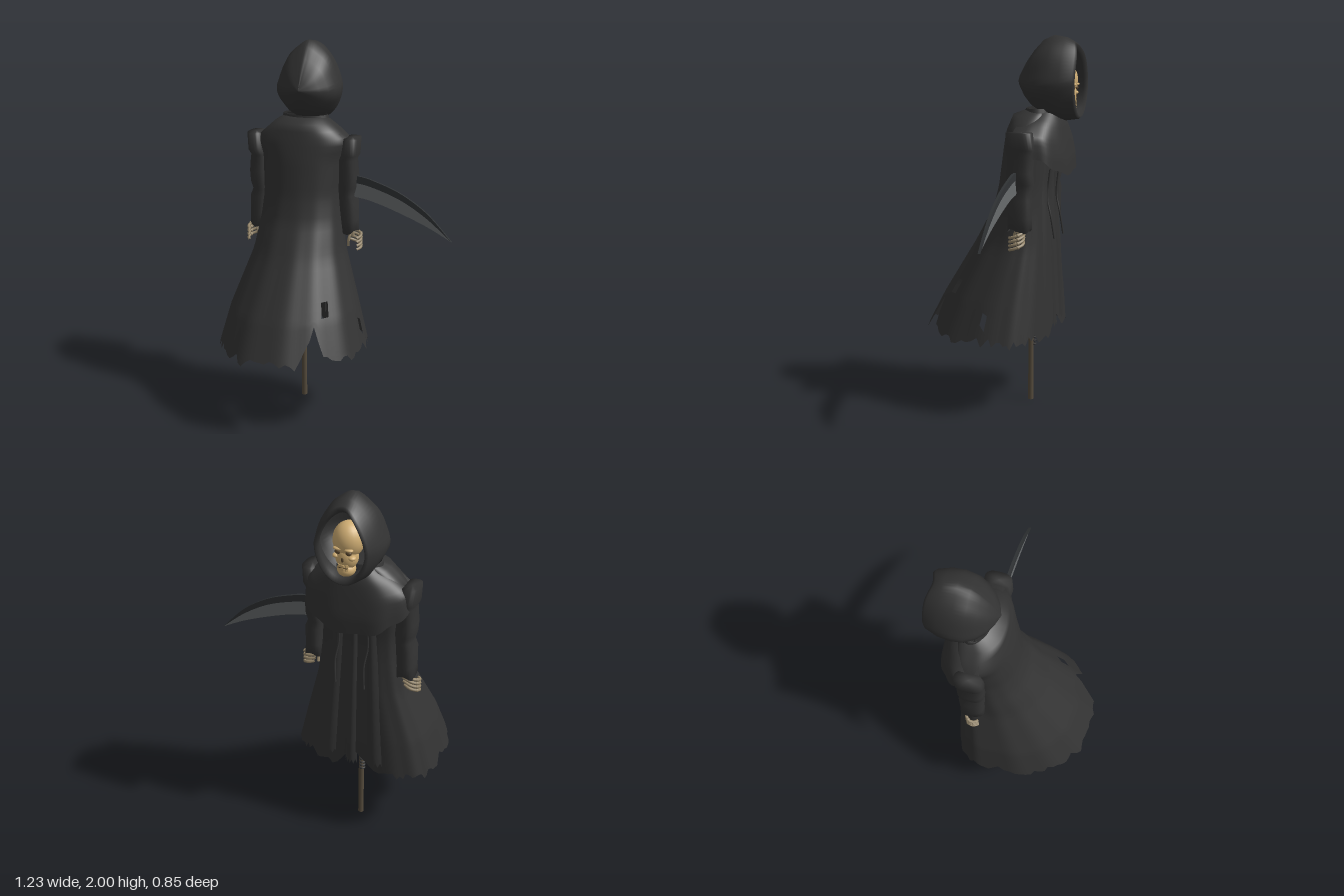
import * as THREE from 'three';

const CX = -0.21; // the figure stands left of the blade's reach
const mat = (name, color, side = THREE.FrontSide) => {
  const m = new THREE.MeshStandardMaterial({ color, side });
  m.name = name;
  return m;
};

// Interpolates rows of numbers keyed by their first entry (descending)
function sample(table, key) {
  let i = 0;
  while (i < table.length - 2 && key < table[i + 1][0]) i++;
  const a = table[i], b = table[i + 1];
  const f = THREE.MathUtils.clamp((a[0] - key) / (a[0] - b[0]), 0, 1);
  return a.map((v, k) => v + (b[k] - v) * f);
}

// Surface from point(column, row); closed sheets wrap the columns
function sheet(cols, rows, closed, point, skip = () => false) {
  const pos = [], idx = [], n = closed ? cols : cols + 1;
  for (let r = 0; r <= rows; r++) for (let c = 0; c < n; c++) pos.push(...point(c, r));
  for (let r = 0; r < rows; r++) for (let c = 0; c < cols; c++) {
    if (skip(c, r)) continue;
    const a = r * n + c, b = r * n + (c + 1) % n;
    idx.push(a, b, a + n, b, b + n, a + n);
  }
  const g = new THREE.BufferGeometry();
  g.setAttribute('position', new THREE.Float32BufferAttribute(pos, 3));
  g.setIndex(idx);
  g.computeVertexNormals();
  return g;
}

const spow = (v, p) => Math.sign(v) * Math.abs(v) ** p;

export function createModel() {
  const model = new THREE.Group();
  const cloth = mat('black cloth', 0x333333, THREE.DoubleSide);
  const bone = mat('skull bone', 0xd0ae74);
  const handBone = mat('hand bone', 0x94856a);
  const wood = mat('staff wood', 0x544a3b);
  const steel = mat('blade steel', 0x686b6d);
  const darkSteel = mat('blade spine', 0x303335);
  const socket = mat('socket brown', 0x5c4930);
  const add = (name, geo, material, parent = model) => {
    const m = new THREE.Mesh(geo, material);
    m.name = name;
    parent.add(m);
    return m;
  };
  let seed = 7;
  const rnd = () => (seed = (seed * 16807) % 2147483647) / 2147483647;

  // Robe: y, left x, right x, back z, front z, z of the widest line
  const robe = [
    [1.61, -0.32, -0.10, -0.12, -0.26, -0.19], [1.585, -0.365, -0.055, -0.055, -0.27, -0.17],
    [1.50, -0.46, 0.04, -0.03, -0.27, -0.165], [1.40, -0.43, 0.01, -0.008, -0.26, -0.16],
    [1.20, -0.42, 0.00, 0.022, -0.25, -0.15], [1.08, -0.43, 0.01, 0.055, -0.255, -0.13],
    [0.90, -0.46, 0.04, 0.15, -0.265, -0.10], [0.60, -0.565, 0.13, 0.332, -0.278, -0.03],
    [0.38, -0.62, 0.19, 0.445, -0.285, 0.0]];
  const COLS = 96, ROWS = 36;
  const hem = Array.from({ length: COLS }, (_, c) =>
    0.405 + 0.02 * Math.sin(c * 0.9) * Math.sin(c * 0.37) + (rnd() - 0.4) * 0.045);
  [0.45, 0.52, 0.595, 0.53, 0.49, 0.44].forEach((y, i) => { hem[13 + i] = y; }); // long tear
  [0.45, 0.52, 0.46].forEach((y, i) => { hem[71 + i] = y; });
  const robePoint = (t, y) => {
    const [, l, r, back, front, zc] = sample(robe, y);
    const s = Math.sin(t), c = Math.cos(t);
    const e = s > 0 ? 0.95 : c < 0 ? 0.56 : 0.78; // the front corners differ
    const k = 1 + 0.014 * Math.cos(13 * t) * THREE.MathUtils.clamp(1.5 - y, 0.1, 0.6);
    return [(l + r) / 2 + (r - l) / 2 * spow(c, e) * k, y,
      zc + (s > 0 ? back - zc : zc - front) * spow(s, e) * k];
  };
  // Two torn holes are left out of the side and the back
  add('robe', sheet(COLS, ROWS, true, (c, r) => {
    const y = r === 0 ? 1.61 : r <= 27 ? 1.585 - (r - 1) * 0.0368
      : THREE.MathUtils.lerp(0.628, hem[c], (r - 27) / 9);
    return robePoint(c / COLS * Math.PI * 2, y);
  }, (c, r) => ((c === 11 || c === 12) && (r === 25 || r === 26)) ||
    (c === 0 && r >= 30 && r <= 32)), cloth);

  // Broad hanging folds down the chest side
  [[-0.1, 0.065, 0.45], [0.0, 0.05, 0.43], [0.095, 0.065, 0.46]].forEach(([dx, w, low]) => {
    add('hangingFold', sheet(8, 16, false, (c, r) => {
      const u = c / 8 - 0.5, v = r / 16;
      const y = 1.34 - v * (1.34 - low) + (r === 16 ? 0.025 * (c % 2) : 0);
      return [CX + dx * (0.85 + 0.5 * v) + u * w * (0.8 + 0.6 * v), y,
        sample(robe, y)[4] + 0.006 - 0.018 * Math.cos(u * Math.PI)];
    }), cloth);
  });

  // Short cape over the shoulders and chest: y, half width, depth, middle z
  const cape = [[0, 1.60, 0.11, 0.10, -0.20], [-0.3, 1.55, 0.19, 0.145, -0.18],
    [-0.6, 1.485, 0.272, 0.175, -0.17], [-0.8, 1.43, 0.28, 0.19, -0.17], [-1, 1.39, 0.285, 0.194, -0.17]];
  add('shoulderCape', sheet(48, 14, false, (c, r) => {
    const t = Math.PI * (0.92 + 1.16 * c / 48), v = r / 14;
    const [, y, w, d, zc] = sample(cape, -v);
    const front = Math.max(0, -Math.sin(t));
    const fold = 1 + 0.02 * v * Math.cos(9 * t);
    return [CX + w * spow(Math.cos(t), 0.8) * fold,
      y - v * v * (0.115 * front ** 2 + 0.006 * Math.sin(c * 0.8)),
      zc + d * spow(Math.sin(t), 0.8) * fold];
  }), cloth);

  // Collar band under the hood
  const collar = add('collar', new THREE.CylinderGeometry(0.122, 0.132, 0.035, 32, 1, true), cloth);
  collar.position.set(CX, 1.602, -0.2);
  collar.scale.z = 0.62;

  // Hood: z, top y, bottom y, half width; the first rows turn back inside
  const hood = [[-0.33, 1.935, 1.595, 0.148], [-0.395, 1.93, 1.595, 0.119], [-0.417, 1.95, 1.578, 0.128],
    [-0.405, 1.965, 1.565, 0.142], [-0.34, 1.988, 1.555, 0.166], [-0.27, 2.0, 1.575, 0.175],
    [-0.21, 1.968, 1.595, 0.168], [-0.16, 1.915, 1.625, 0.14], [-0.12, 1.86, 1.67, 0.102],
    [-0.09, 1.805, 1.72, 0.055], [-0.07, 1.76, 1.76, 0]];
  add('hood', sheet(60, hood.length - 1, true, (c, r) => {
    const [z, top, bottom, w] = hood[r], t = c / 60 * Math.PI * 2;
    const s = Math.sin(t);
    const dip = r > 0 && r < 4 ? 0.025 * Math.max(0, s) ** 6 : 0;
    // wrinkles fan out from the back point, with a seam ridge on top
    const k = r > 4 ? 1 + 0.018 * Math.cos(7 * (t - Math.PI / 2)) - 0.018 : 1;
    const ridge = r > 5 && r < 10 && c === 15 ? 0.005 : 0;
    return [CX + w * k * Math.cos(t) * (1 - 0.23 * Math.max(0, s)),
      1.76 + (s > 0 ? top - 1.76 : 1.76 - bottom) * s * k + ridge, z + dip];
  }), cloth);

  // Skull looking out of the hood
  const skull = new THREE.Group();
  skull.name = 'skull';
  skull.position.set(CX, 1.718, -0.317);
  model.add(skull);
  const ball = (name, material, x, y, z, sx, sy, sz) => {
    const m = add(name, new THREE.SphereGeometry(1, 24, 16), material, skull);
    m.position.set(x, y, z);
    m.scale.set(sx, sy, sz);
  };
  ball('cranium', bone, 0, 0.052, 0, 0.078, 0.092, 0.078);
  ball('face', bone, 0, -0.025, -0.02, 0.058, 0.07, 0.054);
  ball('jaw', bone, 0, -0.094, -0.025, 0.046, 0.038, 0.047);
  ball('noseHole', socket, 0, -0.028, -0.07, 0.008, 0.014, 0.006);
  for (const s of [-1, 1]) {
    ball('eyeSocket', socket, s * 0.028, 0.01, -0.063, 0.016, 0.013, 0.012);
    ball('browRidge', bone, s * 0.028, 0.027, -0.064, 0.024, 0.009, 0.016);
    ball('cheekbone', bone, s * 0.041, -0.018, -0.052, 0.019, 0.012, 0.02);
  }
  add('mouthLine', new THREE.BoxGeometry(0.05, 0.004, 0.008), socket, skull).position.set(0, -0.071, -0.066);
  for (let i = -3; i <= 3; i++) for (const y of [-0.062, -0.08])
    add('tooth', new THREE.BoxGeometry(0.006, 0.014, 0.01), bone, skull)
      .position.set(i * 0.0075, y, -0.068 + Math.abs(i) * 0.002);

  // Sleeves and bony hands: y, offset from the middle, half width, half depth
  const sleeve = [[1.512, 0.27, 0, 0], [1.51, 0.27, 0.042, 0.07], [1.42, 0.26, 0.046, 0.076],
    [1.395, 0.247, 0.046, 0.07], [1.30, 0.252, 0.05, 0.068], [1.24, 0.247, 0.05, 0.07],
    [1.20, 0.243, 0.043, 0.06], [1.16, 0.252, 0.049, 0.066], [1.06, 0.256, 0.046, 0.062],
    [1.00, 0.258, 0.046, 0.064], [1.02, 0.258, 0.03, 0.045]];
  for (const side of [-1, 1]) {
    add('sleeve', sheet(24, sleeve.length - 1, true, (c, r) => {
      const [y, off, w, d] = sleeve[r], t = c / 24 * Math.PI * 2;
      const lip = r === 9 ? 0.012 * Math.sin(3 * t) : 0;
      return [CX + side * (off + w * spow(Math.cos(t), 0.75)), y + lip,
        -0.168 + d * spow(Math.sin(t), 0.75)];
    }), cloth);

    // Half-closed hand, its fingers stacked and curling outwards
    const hand = new THREE.Group();
    hand.name = 'hand';
    hand.position.set(CX + side * 0.275, 0.975, -0.16);
    model.add(hand);
    const bonePath = (name, pts, radius) => add(name, new THREE.TubeGeometry(
      new THREE.CatmullRomCurve3(pts.map(([x, y, z]) => new THREE.Vector3(x * side, y, z))), 10, radius, 8), handBone, hand);
    bonePath('wrist', [[-0.015, 0.07, 0], [-0.01, 0.035, -0.005], [-0.005, -0.01, -0.015]], 0.014);
    for (let i = 0; i < 4; i++) {
      const y = 0.01 - i * 0.021, inner = -0.04 + i * 0.006;
      bonePath('finger', [[inner, y + 0.02, -0.028], [0.012, y + 0.008, -0.036],
        [0.044, y - 0.004, -0.016], [0.046, y - 0.014, 0.012], [0.03, y - 0.02, 0.032]], 0.0078);
      const k = add('knuckle', new THREE.SphereGeometry(0.0105, 8, 6), handBone, hand);
      k.position.set(0.042 * side, y - 0.003, -0.018);
    }
    bonePath('thumb', [[-0.005, 0.02, 0.01], [-0.015, -0.02, 0.024], [-0.02, -0.06, 0.012]], 0.0075);
  }

  // Staff with a cord wound beside it
  add('staff', new THREE.CylinderGeometry(0.013, 0.015, 1.32, 14), wood).position.set(-0.211, 0.66, -0.149);
  for (let i = 0; i < 9; i++) {
    const ring = add('cordWrap', new THREE.TorusGeometry(0.012, 0.005, 6, 14), cloth);
    ring.rotation.x = Math.PI / 2;
    ring.position.set(-0.222, 0.315 + i * 0.02, -0.16);
  }

  // Loose cords on the chest
  for (const x of [-0.29, -0.13])
    add('cord', new THREE.TubeGeometry(new THREE.CatmullRomCurve3([[x, 1.3, -0.275], [x, 1.15, -0.262],
      [x + 0.01, 1.05, -0.285], [x, 0.93, -0.302]].map(p => new THREE.Vector3(...p))), 16, 0.005, 6), cloth);

  // Curved blade: spine and cutting edge meet along a middle line
  const top = [[-0.21, 1.33], [0.08, 1.308], [0.2, 1.28], [0.34, 1.222], [0.48, 1.125], [0.61, 0.985]];
  const mid = [[-0.21, 1.29], [0.08, 1.268], [0.2, 1.242], [0.34, 1.187], [0.48, 1.098], [0.61, 0.985]];
  const low = [[-0.21, 1.21], [0.08, 1.19], [0.2, 1.165], [0.34, 1.115], [0.48, 1.055], [0.61, 0.985]];
  const band = (upper, lower, depth) => {
    const v = l => l.map(p => new THREE.Vector2(...p));
    const s = new THREE.Shape();
    s.moveTo(...upper[0]);
    s.splineThru(v(upper.slice(1)));
    s.splineThru(v([...lower].reverse().slice(1)));
    return new THREE.ExtrudeGeometry(s, { depth, bevelEnabled: false, curveSegments: 20 })
      .translate(0, 0, -0.155 - depth / 2);
  };
  add('bladeSpine', band(top, mid, 0.014), darkSteel);
  add('bladeEdge', band(mid, low, 0.008), steel);
  add('bladeSocket', new THREE.CylinderGeometry(0.022, 0.022, 0.16, 12), darkSteel).position.set(-0.211, 1.26, -0.15);

  return model;
}
